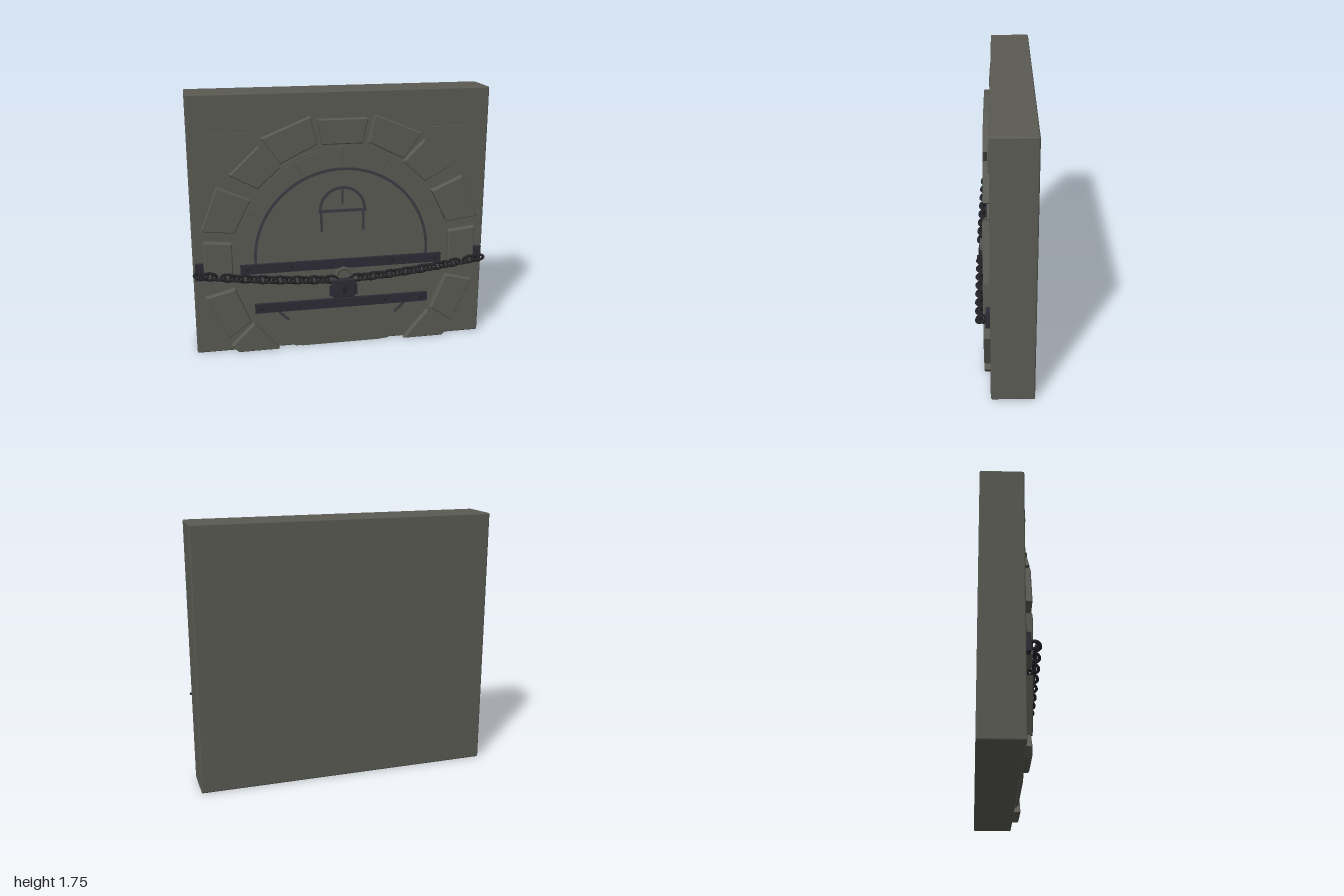
import * as THREE from 'three';
import { RoundedBoxGeometry } from 'three/addons/geometries/RoundedBoxGeometry.js';

const mat = (name, color) => {
  const m = new THREE.MeshStandardMaterial({ color });
  m.name = name;
  return m;
};

export function createModel() {
  const stone = mat('stone', 0x5a5a53);
  const groove = mat('dark inlay', 0x3a3a42);
  const iron = mat('dark iron', 0x2d2c35);
  const chainIron = mat('chain iron', 0x232327);
  const steel = mat('worn steel', 0x55554f);

  const root = new THREE.Group();
  root.name = 'chainedStoneDoor';
  const CY = 0.66; // centre height of the round door

  const add = (name, geo, material, x = 0, y = 0, z = 0, parent = root) => {
    const m = new THREE.Mesh(geo, material);
    m.name = name;
    m.position.set(x, y, z);
    parent.add(m);
    return m;
  };
  const box = (name, material, w, h, d, x, y, z) =>
    add(name, new THREE.BoxGeometry(w, h, d), material, x, y, z);
  const extrude = (shape, depth, bevel = 0) => new THREE.ExtrudeGeometry(shape, {
    depth: depth - bevel, curveSegments: 48, bevelEnabled: bevel > 0, bevelSize: bevel,
    bevelThickness: bevel, bevelOffset: -bevel, bevelSegments: 1,
  });
  // Flat band following a circle, angles in degrees
  const arcBand = (name, r, width, from, to, depth, cy, z) => {
    const a = THREE.MathUtils.degToRad(from), b = THREE.MathUtils.degToRad(to);
    const s = new THREE.Shape();
    s.absarc(0, 0, r + width / 2, a, b, false);
    s.absarc(0, 0, r - width / 2, b, a, true);
    return add(name, extrude(s, depth), groove, 0, cy, z);
  };

  // Wall slab
  add('wall', new RoundedBoxGeometry(1.995, 1.755, 0.275, 2, 0.01), stone, 0, 0.8775, -0.05);

  // Round door in two steps, cut flat at the floor
  for (const [name, r, depth] of [['doorRim', 0.735, 0.01], ['doorFace', 0.715, 0.018]]) {
    const a = Math.asin(-CY / r);
    const s = new THREE.Shape();
    s.absarc(0, CY, r, a, Math.PI - a, false);
    add(name, extrude(s, depth), stone, 0, 0, 0.087);
  }

  // Surrounding arch stones, one side listed and mirrored
  const stones = [
    [[0.17, 1.42], [0.41, 1.3], [0.53, 1.47], [0.21, 1.6]],
    [[0.41, 1.28], [0.56, 1.14], [0.74, 1.24], [0.55, 1.42]],
    [[0.61, 1.07], [0.72, 0.85], [0.935, 0.875], [0.825, 1.165]],
    [[0.74, 0.78], [0.74, 0.53], [0.925, 0.54], [0.925, 0.8]],
    [[0.73, 0.46], [0.63, 0.22], [0.78, 0.11], [0.925, 0.41]],
    [[0.61, 0.2], [0.44, 0], [0.72, 0], [0.765, 0.05]],
  ];
  const addStone = (pts) => {
    const s = new THREE.Shape(pts.map(([x, y]) => new THREE.Vector2(x, y)));
    add('archStone', extrude(s, 0.045, 0.006), stone, 0, 0, 0.085);
  };
  addStone([[-0.134, 1.415], [0.134, 1.415], [0.166, 1.58], [-0.166, 1.58]]);
  for (const pts of stones) {
    addStone(pts);
    addStone(pts.map(([x, y]) => [-x, y]));
  }

  // Circular inlay line and radial joints
  const Z = 0.105;
  arcBand('arcLine', 0.587, 0.018, -5, 185, 0.006, CY, Z);
  arcBand('lowerArcLine', 0.587, 0.018, 213, 231, 0.006, CY, Z);
  arcBand('lowerArcLine', 0.587, 0.018, 309, 327, 0.006, CY, Z);
  for (const deg of [-63, -26, 0, 26, 63]) {
    const a = THREE.MathUtils.degToRad(deg);
    const t = box('radialJoint', steel, 0.013, 0.09, 0.006,
      Math.sin(a) * 0.665, CY + Math.cos(a) * 0.665, Z + 0.002);
    t.rotation.z = -a;
  }

  // Plain arched ornament: half ring, crossbar, centre bar and side posts
  arcBand('ornamentArch', 0.15, 0.018, 0, 180, 0.006, 0.97, Z);
  box('ornamentCrossbar', groove, 0.325, 0.02, 0.006, 0, 0.962, Z + 0.003);
  box('ornamentCentreBar', groove, 0.014, 0.11, 0.006, 0, 1.065, Z + 0.003);
  for (const s of [-1, 1]) box('ornamentPost', groove, 0.016, 0.13, 0.006, s * 0.142, 0.885, Z + 0.003);

  // Ledges with small pegs in the upper corners
  for (const s of [-1, 1]) {
    box('cornerLedge', stone, 0.27, 0.012, 0.016, s * 0.72, 1.497, 0.092);
    for (let i = 0; i < 6; i++) {
      box('cornerPeg', stone, 0.014, 0.05, 0.012, s * 0.72 - 0.105 + i * 0.043, 1.537, 0.09);
    }
  }

  // Two iron straps with bolts
  for (const [half, y, bolts] of [[0.69, 0.592, [0.645, 0.345]], [0.6, 0.307, [0.555, 0.3]]]) {
    box('strap', iron, half * 2, 0.064, 0.025, 0, y, 0.115);
    for (const b of bolts) for (const s of [-1, 1]) {
      const bolt = add('bolt', new THREE.CylinderGeometry(0.011, 0.013, 0.01, 12), chainIron, s * b, y, 0.131);
      bolt.rotation.x = Math.PI / 2;
    }
  }

  // Chain: links alternate between facing forward and facing up
  const linkGeo = new THREE.TorusGeometry(0.028, 0.0095, 8, 20);
  linkGeo.translate(0, 0, 0);
  const pos = linkGeo.attributes.position;
  for (let i = 0; i < pos.count; i++) {
    const x = pos.getX(i);
    pos.setX(i, x + Math.sin(Math.atan2(x, Math.abs(pos.getY(i)))) * 0.017);
  }
  linkGeo.computeVertexNormals();
  for (const s of [-1, 1]) {
    for (let i = 0; i < 16; i++) {
      const x = 0.95 - i * 0.0575;
      const link = add('chainLink', linkGeo, chainIron, s * x, 0.495 + 0.09 * x ** 1.7, 0.155 - 0.015 * x * x);
      link.rotation.order = 'ZXY';
      link.rotation.set(i % 2 ? 0.3 : Math.PI / 2 + 0.3, 0, s * 0.12);
    }
    // Wall anchors
    box('anchorPlate', iron, 0.056, 0.115, 0.03, s * 0.957, 0.59, 0.1);
    const eye = add('anchorEye', new THREE.TorusGeometry(0.024, 0.009, 8, 18), chainIron, s * 0.957, 0.58, 0.127);
    eye.rotation.y = Math.PI / 2;
  }

  // Padlock
  const lock = new THREE.Group();
  lock.name = 'padlock';
  lock.position.set(0, 0.43, 0.155);
  root.add(lock);
  add('lockBody', new RoundedBoxGeometry(0.155, 0.13, 0.042, 2, 0.008), iron, 0, 0, 0, lock);
  add('lockBand', new THREE.BoxGeometry(0.19, 0.075, 0.025), iron, 0, -0.018, -0.004, lock);
  add('keyPlate', new THREE.BoxGeometry(0.022, 0.048, 0.012), chainIron, 0, -0.01, 0.026, lock);
  const shackle = new THREE.CatmullRomCurve3([
    [-0.05, 0.05], [-0.05, 0.09], [-0.035, 0.125], [0, 0.139],
    [0.035, 0.125], [0.05, 0.09], [0.05, 0.05],
  ].map(([x, y]) => new THREE.Vector3(x, y, 0)));
  add('shackle', new THREE.TubeGeometry(shackle, 28, 0.0115, 10), steel, 0, 0, 0, lock);

  return root;
}
